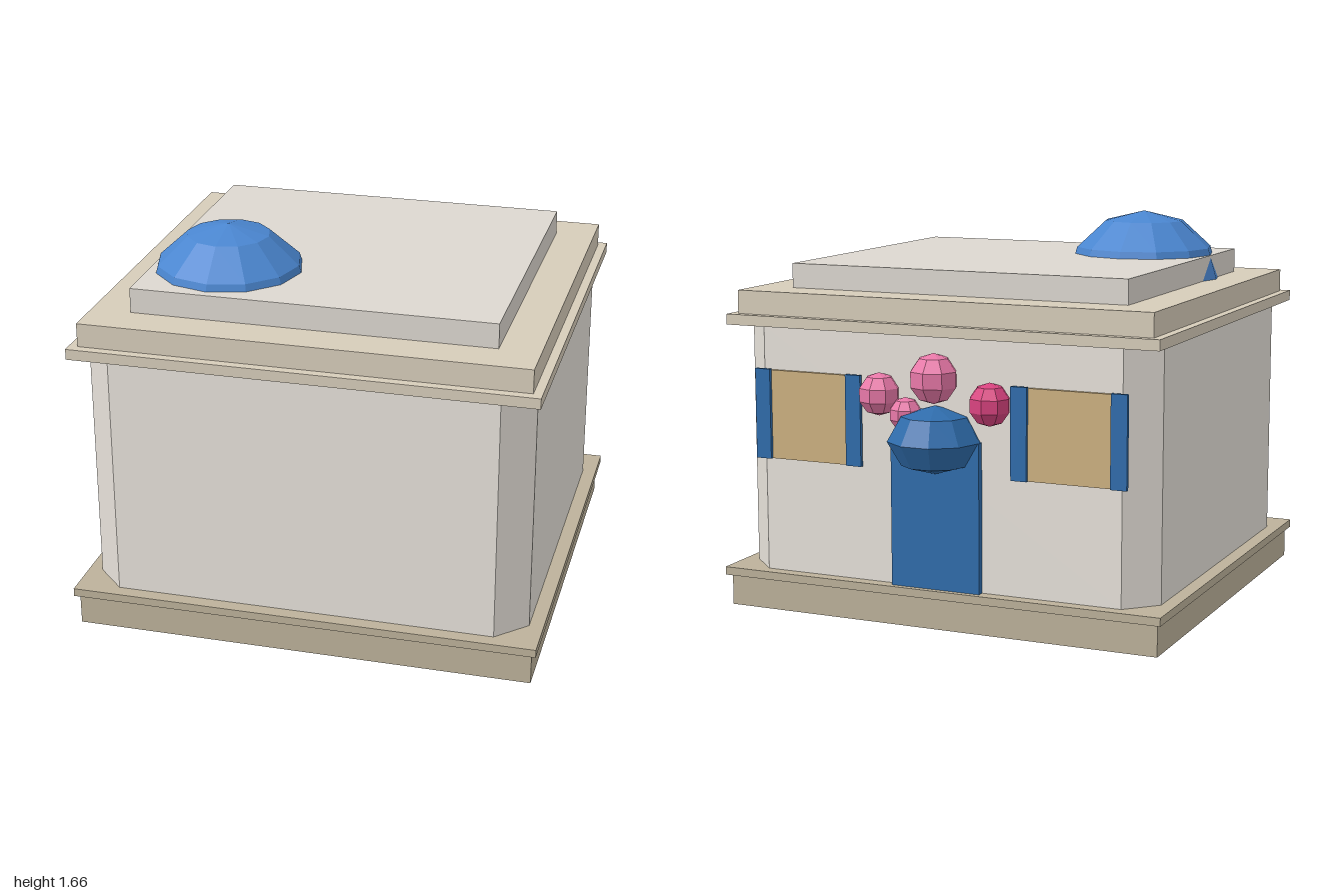
import * as THREE from 'three';

const mat = (color) => new THREE.MeshStandardMaterial({ color, flatShading: true });
const WALL = mat(0xe6e1d9), ROOF = mat(0xdcd7cf), STONE = mat(0xd6ccb9), BASE = mat(0xbcb19a);
const DOME = mat(0x4a86d0), DOOR = mat(0x2f6cab), GLASS = mat(0xccb080);
const PINK = mat(0xe878a8), ROSE = mat(0xd8437f);

export function createModel() {
  const model = new THREE.Group();

  const add = (name, geometry, material) => {
    const mesh = new THREE.Mesh(geometry, material);
    mesh.name = name;
    model.add(mesh);
    return mesh;
  };

  // Box given by its limits on each axis
  const box = (name, material, [x0, x1], [y0, y1], [z0, z1]) =>
    add(name, new THREE.BoxGeometry(x1 - x0, y1 - y0, z1 - z0), material)
      .position.set((x0 + x1) / 2, (y0 + y1) / 2, (z0 + z1) / 2);

  // Faceted, optionally squashed ball
  const ball = (name, material, [x, y, z], r, h, sides, rings) => {
    const mesh = add(name, new THREE.SphereGeometry(r, sides, rings).scale(1, h / r, 1), material);
    mesh.position.set(x, y, z);
  };

  // Stepped base, cornice and roof
  box('base', BASE, [-0.975, 0.975], [0, 0.135], [-0.82, 0.98]);
  box('baseLip', BASE, [-0.995, 0.995], [0.135, 0.17], [-0.845, 1]);
  box('cornice', STONE, [-0.972, 0.972], [1.225, 1.27], [-0.825, 0.98]);
  box('parapet', STONE, [-0.935, 0.935], [1.27, 1.37], [-0.79, 0.94]);
  box('roofSlab', ROOF, [-0.765, 0.765], [1.37, 1.475], [-0.62, 0.77]);

  // Walls: rectangle with chamfered corners, extruded upwards
  const w = 0.935, d = 0.865, c = 0.125;
  const plan = new THREE.Shape([
    [w, -d + c], [w, d - c], [w - c, d], [-w + c, d],
    [-w, d - c], [-w, -d + c], [-w + c, -d], [w - c, -d],
  ].map(([x, y]) => new THREE.Vector2(x, y)));
  const walls = new THREE.ExtrudeGeometry(plan, { depth: 1.055, bevelEnabled: false });
  add('walls', walls.rotateX(-Math.PI / 2), WALL).position.set(0, 0.17, 0.075);

  // Roof dome
  ball('dome', DOME, [-0.45, 1.345, 0.42], 0.35, 0.32, 12, 6);

  // Door with its rounded canopy
  box('door', DOOR, [-0.2, 0.2], [0.17, 0.8], [-0.82, -0.78]);
  ball('canopy', DOOR, [0, 0.8, -0.81], 0.2, 0.143, 10, 4);

  // Shuttered windows either side of the door
  for (const s of [-1, 1]) {
    const x = s * 0.59;
    box('window', GLASS, [x - 0.2, x + 0.2], [0.66, 1.04], [-0.805, -0.78]);
    for (const t of [-1, 1]) {
      const sx = x + t * 0.215;
      box('shutter', DOOR, [sx - 0.035, sx + 0.035], [0.66, 1.045], [-0.82, -0.803]);
    }
  }

  // Blossoms above the door
  const blossoms = [
    [0, 1.055, 0.105, PINK], [0.25, 0.975, 0.09, PINK],
    [0.13, 0.9, 0.07, PINK], [-0.25, 0.965, 0.09, ROSE],
  ];
  for (const [x, y, r, material] of blossoms) ball('blossom', material, [x, y, -0.82], r, r, 8, 5);

  return model;
}
